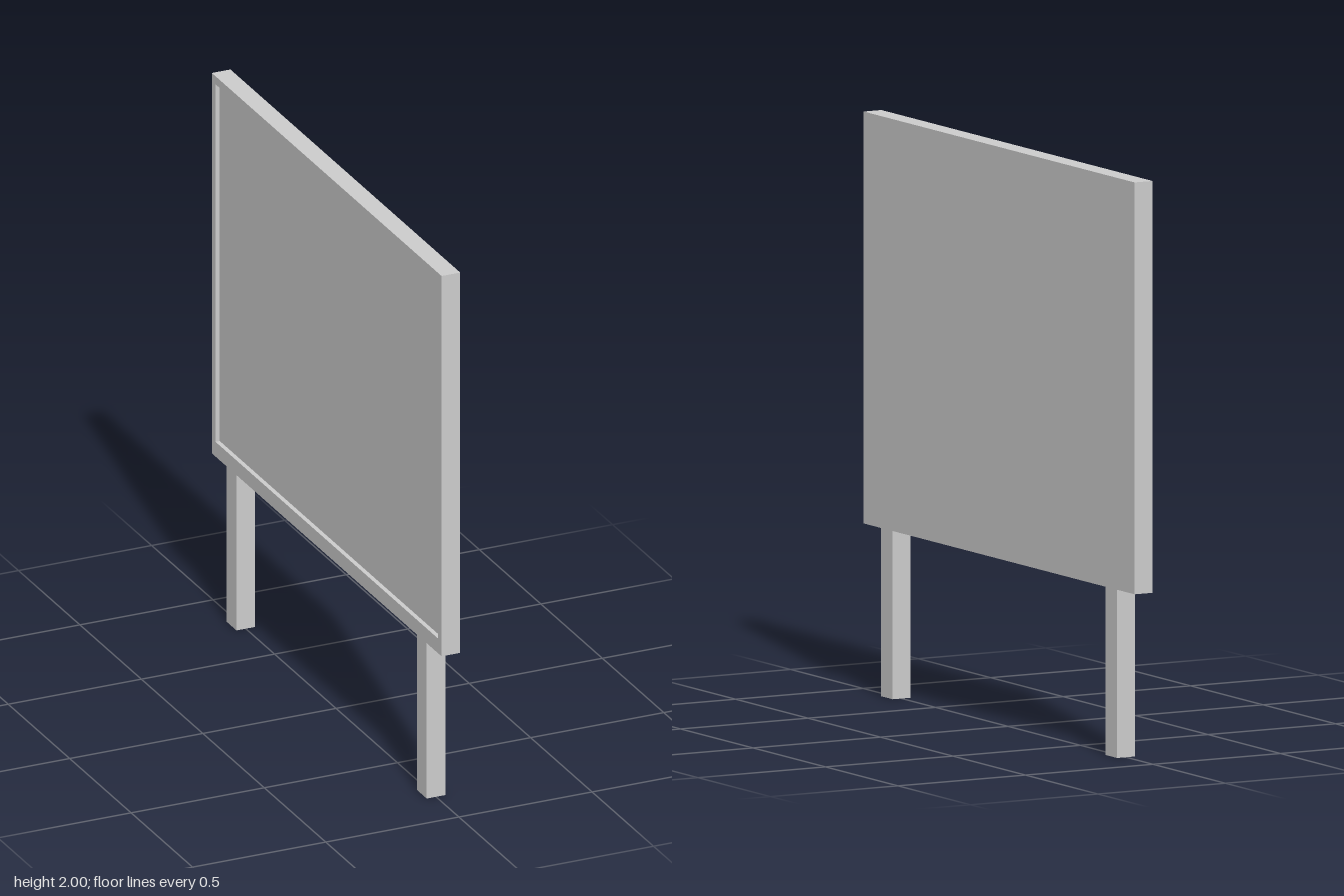
import * as THREE from 'three';

const T = 0.07, HALF_W = 0.935, BOTTOM = 0.58, TOP = 2;
const RECESS = 0.016, RIM = 0.03, BOTTOM_RIM = 0.055;

export function createModel() {
  const group = new THREE.Group();
  const material = new THREE.MeshStandardMaterial({ color: 0xcccccc, flatShading: true });

  const add = (name, geometry, x, y, z) => {
    const mesh = new THREE.Mesh(geometry, material);
    mesh.name = name;
    mesh.position.set(x, y, z);
    group.add(mesh);
    return mesh;
  };

  // Board: solid panel, plain on the +x side
  const panelT = T - RECESS;
  add('panel', new THREE.BoxGeometry(panelT, TOP - BOTTOM, HALF_W * 2),
    T / 2 - panelT / 2, (TOP + BOTTOM) / 2, 0);

  // Raised rim around the recessed -x side, heavier along the bottom
  const rect = (path, w, y0, y1) => path
    .moveTo(-w, y0).lineTo(w, y0).lineTo(w, y1).lineTo(-w, y1).closePath();
  const outline = rect(new THREE.Shape(), HALF_W, BOTTOM, TOP);
  outline.holes.push(rect(new THREE.Path(), HALF_W - RIM, BOTTOM + BOTTOM_RIM, TOP - RIM));
  const rim = add('rim',
    new THREE.ExtrudeGeometry(outline, { depth: RECESS, bevelEnabled: false }), -T / 2, 0, 0);
  rim.rotation.y = Math.PI / 2;

  // Two square legs, flush with the board
  for (const [name, side] of [['frontLeg', 1], ['backLeg', -1]]) {
    add(name, new THREE.BoxGeometry(T, BOTTOM, 0.08), 0, BOTTOM / 2, side * 0.774);
  }
  return group;
}
